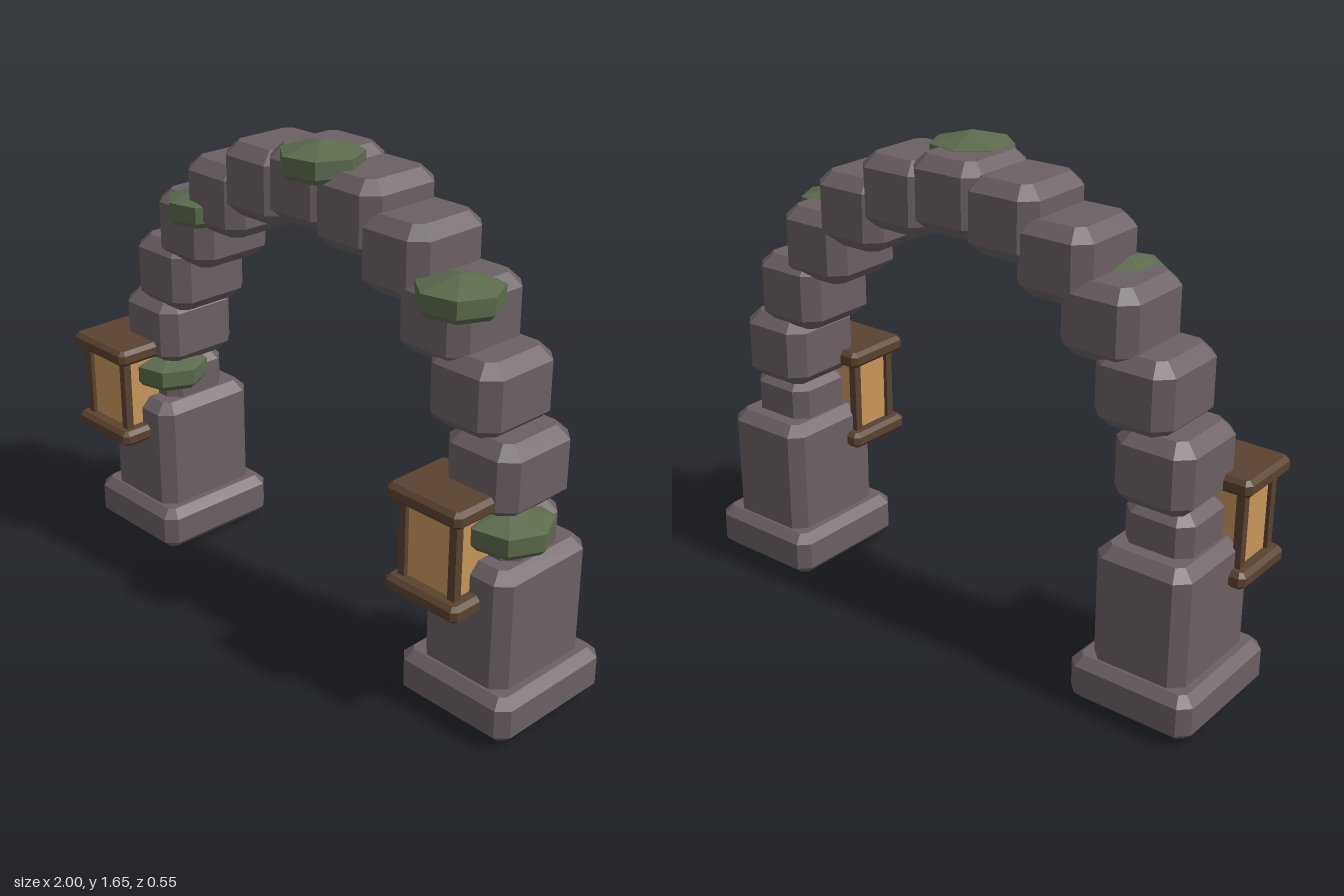
import * as THREE from 'three';

const makeMaterial = (name, color) => {
  const m = new THREE.MeshStandardMaterial({ color });
  m.name = name;
  return m;
};

// Box with cut vertical corners and bevelled top and bottom, centred on the origin
function chamferBox(w, h, d, c, cut = c * 0.6) {
  const x = w / 2 - c, y = d / 2 - c;
  const shape = new THREE.Shape([
    [x, -y + cut], [x, y - cut], [x - cut, y], [-x + cut, y],
    [-x, y - cut], [-x, -y + cut], [-x + cut, -y], [x - cut, -y],
  ].map(([a, b]) => new THREE.Vector2(a, b)));
  const geo = new THREE.ExtrudeGeometry(shape, {
    depth: h - 2 * c, bevelEnabled: true, bevelSegments: 1, bevelSize: c, bevelThickness: c,
  });
  geo.translate(0, 0, -(h - 2 * c) / 2);
  geo.rotateX(-Math.PI / 2);
  return geo;
}

// Seven-sided clump: tapered underside, upright rim, low pointed top
function mossGeometry(r) {
  const profile = [[0, -0.057], [r * 0.86, -0.055], [r, -0.035], [r, 0.02], [0, 0.057]]
    .map(([a, b]) => new THREE.Vector2(a, b));
  const geo = new THREE.LatheGeometry(profile, 7, Math.PI / 2).toNonIndexed();
  geo.computeVertexNormals();
  return geo;
}

export function createModel() {
  const stone = makeMaterial('stone', 0x6b6064);
  const moss = makeMaterial('moss', 0x5b6a4c);
  moss.flatShading = true;
  const wood = makeMaterial('dark wood', 0x5a4230);
  const glass = makeMaterial('amber glass', 0xc8965a);

  const model = new THREE.Group();
  model.name = 'stoneArch';
  const add = (parent, name, geo, mat, x, y, z) => {
    const mesh = new THREE.Mesh(geo, mat);
    mesh.name = name;
    mesh.position.set(x, y, z);
    parent.add(mesh);
    return mesh;
  };
  const Z = -0.037;

  // Two pillars: plinth, shaft and cap
  for (const s of [-1, 1]) {
    const pillar = new THREE.Group();
    pillar.name = s > 0 ? 'leftPillar' : 'rightPillar';
    pillar.position.set(s * 0.781, 0, Z);
    add(pillar, 'plinth', chamferBox(0.436, 0.155, 0.476, 0.03), stone, 0, 0.0975, 0);
    add(pillar, 'shaft', chamferBox(0.33, 0.563, 0.4, 0.035), stone, 0, 0.2815, 0);
    add(pillar, 'cap', chamferBox(0.24, 0.2, 0.245, 0.035), stone, 0, 0.6, 0);
    model.add(pillar);
  }

  // Arch stones, mirrored about the keystone
  const arch = new THREE.Group();
  arch.name = 'arch';
  model.add(arch);
  const stoneGeo = chamferBox(0.272, 0.24, 0.314, 0.04);
  [[0.77, 0.815], [0.69, 1.04], [0.562, 1.23], [0.4, 1.375], [0.208, 1.465]].forEach(([x, y]) => {
    for (const s of [-1, 1]) add(arch, 'archStone', stoneGeo, stone, s * x, y, Z);
  });
  add(arch, 'keystone', stoneGeo, stone, 0, 1.497, Z);

  // Lanterns hung on the front of the pillars
  const plateGeo = chamferBox(0.29, 0.056, 0.256, 0.014);
  const postGeo = new THREE.BoxGeometry(0.028, 0.28, 0.028);
  const glassGeo = chamferBox(0.205, 0.28, 0.165, 0.015);
  for (const [name, x] of [['rightLantern', -0.851], ['leftLantern', 0.711]]) {
    const lantern = new THREE.Group();
    lantern.name = name;
    lantern.position.set(x, 0, 0.145);
    add(lantern, 'lanternRoof', plateGeo, wood, 0, 0.752, 0);
    add(lantern, 'lanternBase', plateGeo, wood, 0, 0.443, 0);
    add(lantern, 'lanternGlass', glassGeo, glass, 0, 0.598, 0);
    for (const sx of [-1, 1]) for (const sz of [-1, 1]) {
      add(lantern, 'lanternPost', postGeo, wood, sx * 0.1, 0.598, sz * 0.082);
    }
    model.add(lantern);
  }

  // Moss clumps
  [
    [0.06, 1.598, 0.135], [-0.51, 1.323, 0.125], [0.628, 1.325, 0.135],
    [0.855, 0.67, 0.135], [-0.725, 0.67, 0.13],
  ].forEach(([x, y, r]) => add(model, 'mossClump', mossGeometry(r), moss, x, y, 0.045));

  return model;
}
